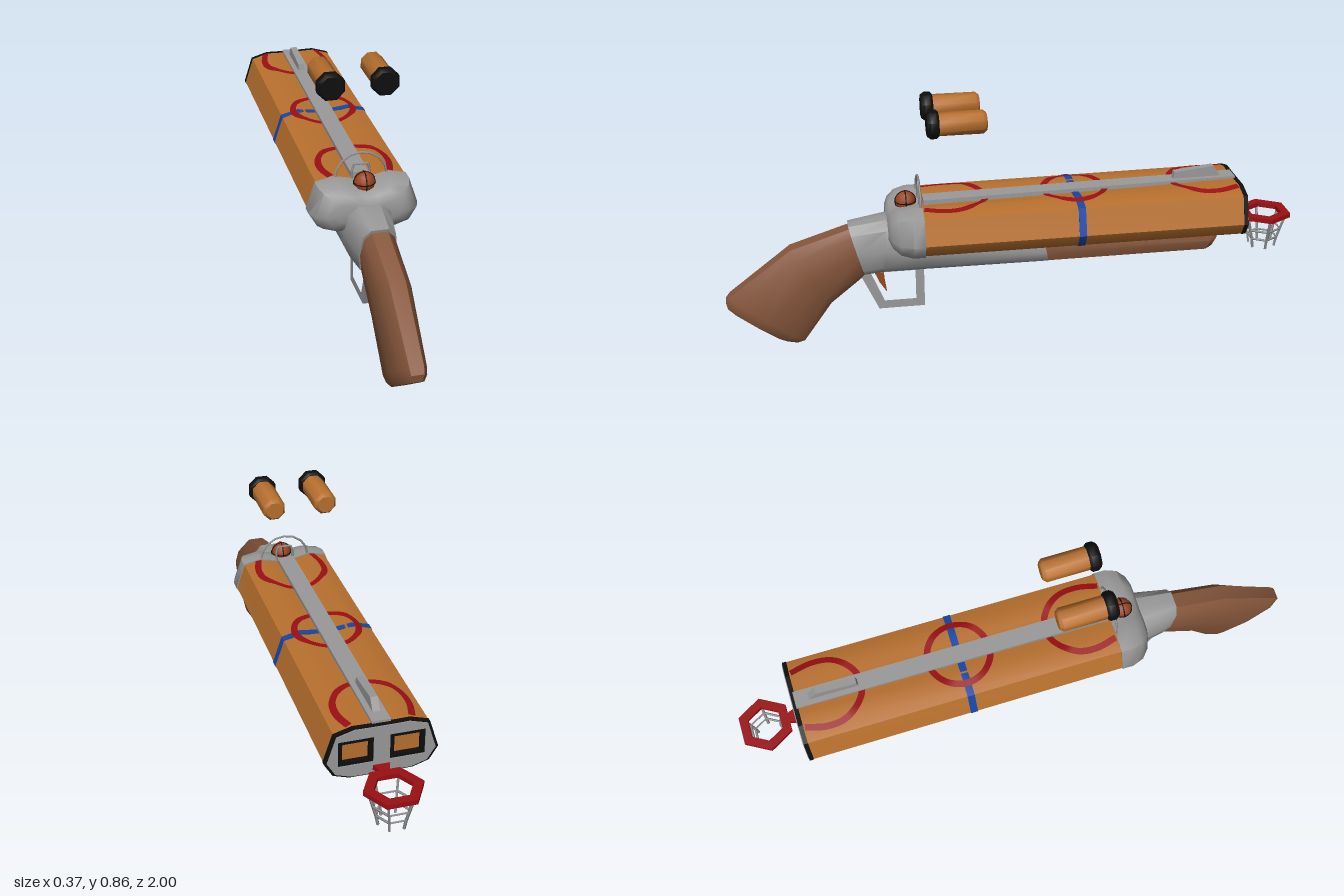
import * as THREE from 'three';
import { toCreasedNormals } from 'three/addons/utils/BufferGeometryUtils.js';

const mat = (name, color, side = THREE.FrontSide) => {
  const m = new THREE.MeshStandardMaterial({ color, side });
  m.name = name;
  return m;
};

// Half outlines of the twin barrel, top centre to bottom centre
const BREECH = [[0, 0.494], [0.045, 0.5], [0.09, 0.51], [0.15, 0.497], [0.18, 0.41], [0.152, 0.364], [0.1, 0.347], [0, 0.355]];
const MUZZLE = [[0, 0.522], [0.045, 0.522], [0.09, 0.523], [0.15, 0.505], [0.18, 0.41], [0.152, 0.364], [0.1, 0.347], [0, 0.347]];
const Z0 = 0.33, Z1 = -0.785, CY = 0.435;

function halfAt(z) {
  const t = (Z0 - z) / (Z0 - Z1);
  return BREECH.map((p, i) => [p[0], p[1] + (MUZZLE[i][1] - p[1]) * t]);
}
const mirrorLoop = (half) => [...half, ...half.slice(1, -1).reverse().map(([x, y]) => [-x, y])];
const scaled = (pts, sx, sy = sx) => pts.map(([x, y]) => [x * sx, CY + (y - CY) * sy]);
const ringAt = (pts, z) => pts.map(([x, y]) => [x, y, z]);
const barrelRing = (z, sx = 1, sy = sx) => ringAt(scaled(mirrorLoop(halfAt(z)), sx, sy), z);

function topY(x, z) {
  const h = halfAt(z), a = Math.abs(x);
  let i = 1;
  while (i < 4 && h[i][0] < a) i++;
  return h[i - 1][1] + (h[i][1] - h[i - 1][1]) * (a - h[i - 1][0]) / (h[i][0] - h[i - 1][0]);
}

// Capped skin over matching cross-sections, turned to face outwards
function loft(rings, crease = 0.75) {
  const tris = [], n = rings[0].length;
  const mid = (r) => [0, 1, 2].map((k) => r.reduce((s, p) => s + p[k], 0) / n);
  for (let j = 0; j < rings.length - 1; j++) {
    for (let i = 0; i < n; i++) {
      const a = rings[j][i], b = rings[j][(i + 1) % n], c = rings[j + 1][(i + 1) % n], d = rings[j + 1][i];
      tris.push([a, b, c], [a, c, d]);
    }
  }
  const first = rings[0], last = rings[rings.length - 1], m0 = mid(first), m1 = mid(last);
  for (let i = 0; i < n; i++) {
    tris.push([m0, first[(i + 1) % n], first[i]], [m1, last[i], last[(i + 1) % n]]);
  }
  let vol = 0;
  for (const t of tris) {
    const [a, b, c] = t.map((p) => new THREE.Vector3(...p));
    vol += a.dot(b.cross(c));
  }
  const pos = tris.flatMap((t) => (vol < 0 ? [t[0], t[2], t[1]] : t)).flat();
  const g = new THREE.BufferGeometry();
  g.setAttribute('position', new THREE.Float32BufferAttribute(pos, 3));
  return toCreasedNormals(g, crease);
}

// Ten-sided section leaning between a top and a bottom point
function section(zt, yt, zb, yb, w) {
  const half = [[0, 1], [0.45, 1], [0.85, 0.86], [1, 0.5], [0.85, 0.14], [0.45, 0], [0, 0]];
  return mirrorLoop(half).map(([u, v]) => [u * w, yb + (yt - yb) * v, zb + (zt - zb) * v]);
}

// Side outline given as (z, y), extruded across x
function sidePlate(pts, width, hole) {
  const toV = (a) => a.map(([z, y]) => new THREE.Vector2(z, y));
  const s = new THREE.Shape(toV(pts));
  if (hole) s.holes.push(new THREE.Path(toV(hole)));
  return new THREE.ExtrudeGeometry(s, { depth: width, bevelEnabled: false }).rotateY(-Math.PI / 2).translate(width / 2, 0, 0);
}

// Flat muzzle plate with two square bores
function muzzlePlate(scale, z, depth, w, h) {
  const s = new THREE.Shape(mirrorLoop(scaled(MUZZLE, scale)).map((p) => new THREE.Vector2(...p)));
  for (const x of [-0.082, 0.082]) {
    s.holes.push(new THREE.Path([[-1, -1], [1, -1], [1, 1], [-1, 1]].map(([a, b]) => new THREE.Vector2(x + a * w / 2, 0.438 + b * h / 2))));
  }
  return new THREE.ExtrudeGeometry(s, { depth, bevelEnabled: false }).translate(0, 0, z);
}

// Painted line lying on the top of the barrel
function ribbon(points, closed, width = 0.022) {
  const curve = new THREE.CatmullRomCurve3(points.map(([x, z]) => new THREE.Vector3(x, 0, z)), closed);
  const N = 48, pos = [], idx = [];
  for (let i = 0; i <= N; i++) {
    const p = curve.getPoint(i / N), t = curve.getTangent(i / N);
    for (const s of [-0.5, 0.5]) {
      const x = p.x - t.z * s * width, z = p.z + t.x * s * width;
      pos.push(x, topY(x, z) + 0.004, z);
    }
    if (i < N) idx.push(2 * i, 2 * i + 2, 2 * i + 1, 2 * i + 1, 2 * i + 2, 2 * i + 3);
  }
  const g = new THREE.BufferGeometry();
  g.setAttribute('position', new THREE.Float32BufferAttribute(pos, 3));
  g.setIndex(idx);
  g.computeVertexNormals();
  if (g.attributes.normal.getY(0) < 0) {
    g.setIndex(idx.reverse());
    g.computeVertexNormals();
  }
  return g;
}

function beam(a, b, r) {
  const A = new THREE.Vector3(...a), B = new THREE.Vector3(...b), d = B.clone().sub(A);
  const g = new THREE.CylinderGeometry(r, r, d.length(), 4);
  g.applyQuaternion(new THREE.Quaternion().setFromUnitVectors(new THREE.Vector3(0, 1, 0), d.normalize()));
  return g.translate(...A.add(B).multiplyScalar(0.5).toArray());
}

export function createModel() {
  const root = new THREE.Group();
  const orange = mat('orange', 0xb8702e), wood = mat('wood brown', 0x87573c), steel = mat('steel grey', 0x9a9a9a);
  const black = mat('black', 0x0e0e0e), rust = mat('ball rust', 0x9a4522);
  const red = mat('line red', 0x9a0f14, THREE.DoubleSide), blue = mat('line blue', 0x1546a8);
  const add = (name, geo, material, parent = root) => {
    const m = new THREE.Mesh(geo, material);
    m.name = name;
    parent.add(m);
    return m;
  };
  const group = (name) => {
    const g = new THREE.Group();
    g.name = name;
    root.add(g);
    return g;
  };

  // Twin barrel and muzzle
  add('barrel', loft([barrelRing(Z0), barrelRing(Z1)]), orange);
  add('muzzleRim', muzzlePlate(1.01, -0.8, 0.015, 0.085, 0.066), black);
  add('muzzleFace', muzzlePlate(0.96, -0.803, 0.003, 0.112, 0.09), steel);

  // Court lines painted on the barrel
  add('blueBand', loft([barrelRing(-0.204, 1.012, 1.025), barrelRing(-0.229, 1.012, 1.025)]), blue);
  const lines = group('redLines');
  const circle = [];
  for (let i = 0; i < 10; i++) circle.push([0.108 * Math.cos(i * Math.PI / 5), -0.216 + 0.108 * Math.sin(i * Math.PI / 5)]);
  add('centreCircle', ribbon(circle, true), red, lines);
  const halfArc = [[0.1, -0.78], [0.116, -0.71], [0.11, -0.645], [0.078, -0.595], [0.03, -0.564]];
  const arc = [...halfArc, ...halfArc.map(([x, z]) => [-x, z]).reverse()];
  add('muzzleArc', ribbon(arc, false), red, lines);
  add('breechArc', ribbon(arc.map(([x, z]) => [x, -0.465 - z]), false), red, lines);

  // Rib and front sight
  add('topRib', sidePlate([[0.31, 0.49], [0.31, 0.515], [-0.79, 0.531], [-0.79, 0.505]], 0.06), steel);
  add('frontSight', sidePlate([[-0.57, 0.525], [-0.575, 0.552], [-0.715, 0.567], [-0.745, 0.525]], 0.024), steel);

  // Breech block, lower frame, fore-end and stock
  add('breechBlock', loft([
    barrelRing(0.32, 1.02, 1.06), barrelRing(0.36, 1.02, 1.06), barrelRing(0.4, 0.94, 0.94),
    barrelRing(0.425, 0.78, 0.72), barrelRing(0.437, 0.6, 0.45)], 0.9), steel);
  add('lowerFrame', loft([
    section(-0.1, 0.36, -0.12, 0.26, 0.083), section(0.32, 0.43, 0.32, 0.26, 0.083),
    section(0.44, 0.455, 0.46, 0.26, 0.082), section(0.57, 0.435, 0.52, 0.25, 0.063)]), steel);
  add('foreEnd', loft([
    section(-0.1, 0.36, -0.12, 0.26, 0.081), section(-0.72, 0.36, -0.68, 0.26, 0.081),
    section(-0.74, 0.36, -0.705, 0.27, 0.07)]), wood);
  add('stock', loft([
    section(0.55, 0.43, 0.51, 0.255, 0.058), section(0.77, 0.36, 0.64, 0.15, 0.058),
    section(0.985, 0.197, 0.74, 0.008, 0.05), section(1.0, 0.178, 0.765, 0, 0.046),
    section(0.995, 0.15, 0.8, 0.005, 0.036)]), wood);

  // Trigger and guard
  add('triggerGuard', sidePlate(
    [[0.545, 0.27], [0.475, 0.115], [0.315, 0.115], [0.315, 0.27]], 0.06,
    [[0.5, 0.255], [0.455, 0.145], [0.345, 0.145], [0.345, 0.255]]), steel);
  add('trigger', sidePlate([[0.495, 0.27], [0.47, 0.21], [0.445, 0.17], [0.452, 0.22], [0.455, 0.27]], 0.03), rust);

  // Ball on the breech
  const ball = group('ball');
  ball.position.set(0, 0.507, 0.37);
  add('ballBody', new THREE.SphereGeometry(0.036, 10, 8), rust, ball);
  for (const [rx, ry] of [[0, 0], [0, Math.PI / 2], [Math.PI / 2, 0]]) {
    add('ballSeam', new THREE.TorusGeometry(0.0355, 0.0022, 4, 16), black, ball).rotation.set(rx, ry, 0);
  }

  // Rear sight arches
  const sight = group('rearSight');
  add('outerArch', new THREE.TorusGeometry(0.088, 0.004, 4, 8, Math.PI).translate(0, 0.504, 0.325), steel, sight);
  const bend = [[-0.03, 0.49], [-0.03, 0.53], [-0.024, 0.551], [0.024, 0.551], [0.03, 0.53], [0.03, 0.49]];
  for (let i = 0; i < 5; i++) add('innerArch', beam([...bend[i], 0.325], [...bend[i + 1], 0.325], 0.004), steel, sight);

  // Hoop and net under the muzzle
  const hoop = group('hoop');
  const hex = (r) => [0, 1, 2, 3, 4, 5].map((i) => new THREE.Vector2(r * Math.cos(i * Math.PI / 3), r * Math.sin(i * Math.PI / 3)));
  const rim = new THREE.Shape(hex(0.096));
  rim.holes.push(new THREE.Path(hex(0.062)));
  const CZ = -0.917;
  add('hoopRim', new THREE.ExtrudeGeometry(rim, { depth: 0.016, bevelEnabled: false }).rotateX(-Math.PI / 2).translate(0, 0.364, CZ), red, hoop);
  const bracket = new THREE.Shape([[-0.03, 0.797], [0.03, 0.797], [0.012, 0.845], [-0.012, 0.845]].map((p) => new THREE.Vector2(...p)));
  add('hoopBracket', new THREE.ExtrudeGeometry(bracket, { depth: 0.016, bevelEnabled: false }).rotateX(-Math.PI / 2).translate(0, 0.364, 0), red, hoop);
  const levels = [[0.078, 0.366], [0.063, 0.315], [0.053, 0.28], [0.046, 0.245]];
  const knot = (l, i) => [levels[l][0] * Math.cos(i * Math.PI / 3), levels[l][1], CZ + levels[l][0] * Math.sin(i * Math.PI / 3)];
  for (let i = 0; i < 6; i++) {
    for (let l = 0; l < 3; l++) {
      add('netStrand', beam(knot(l, i), knot(l + 1, i), 0.005), steel, hoop);
      if (l < 2) add('netRing', beam(knot(l + 1, i), knot(l + 1, i + 1), 0.004), steel, hoop);
    }
  }

  // Two floating shells
  for (const x of [-0.09, 0.09]) {
    const shell = group(x > 0 ? 'leftShell' : 'rightShell');
    shell.position.set(x, 0.812, 0);
    const lathe = (pts, n) => toCreasedNormals(new THREE.LatheGeometry(pts.map((p) => new THREE.Vector2(...p)), n, Math.PI / 8).rotateX(Math.PI / 2), 0.8);
    add('shellCase', lathe([[0, 0.1], [0.03, 0.1], [0.04, 0.112], [0.04, 0.27]], 8), orange, shell);
    add('shellCap', lathe([[0, 0.26], [0.042, 0.26], [0.049, 0.268], [0.049, 0.288], [0.04, 0.3], [0, 0.3]], 8), black, shell);
  }
  return root;
}
